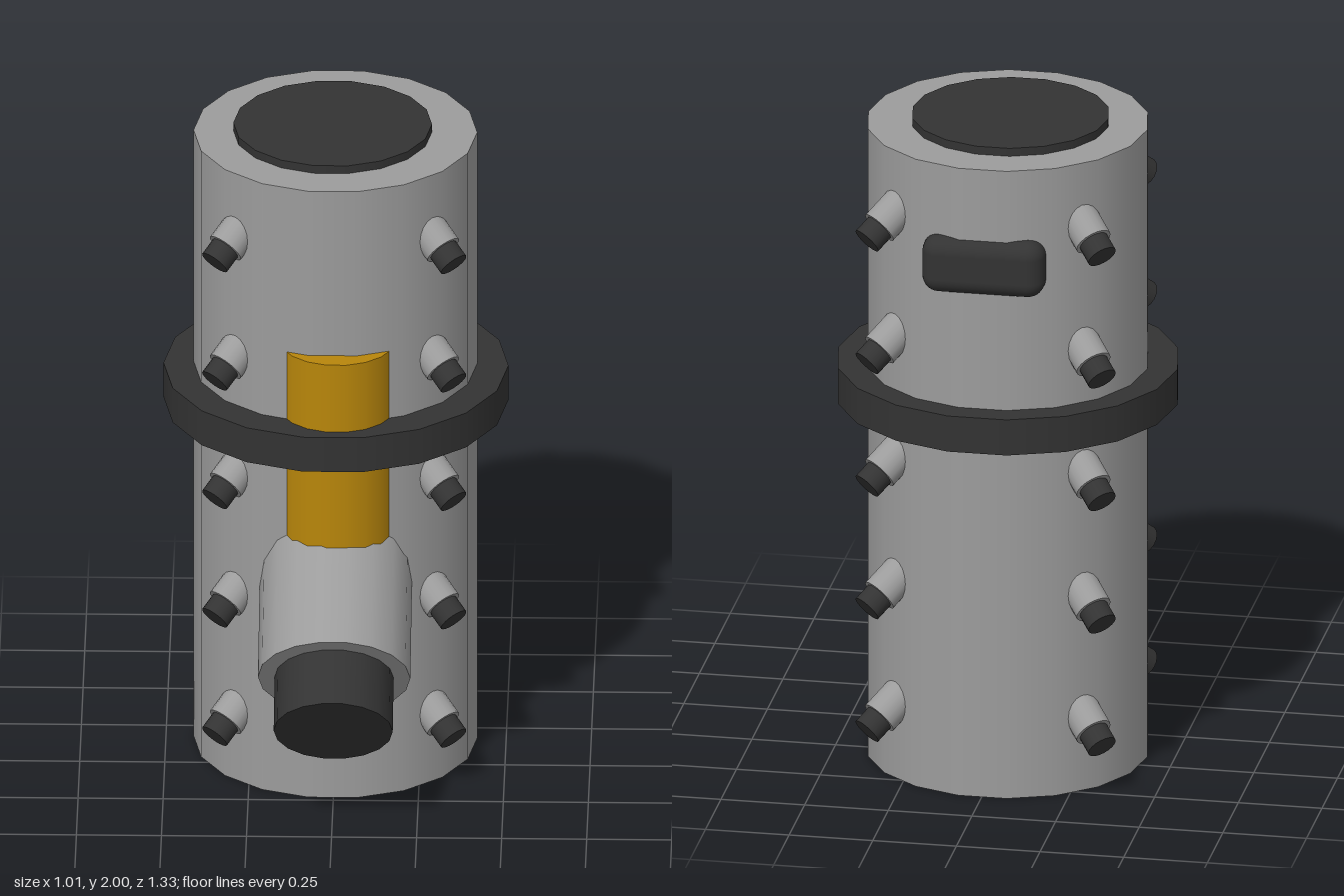
import * as THREE from 'three';
import { RoundedBoxGeometry } from 'three/addons/geometries/RoundedBoxGeometry.js';

const grey = new THREE.MeshStandardMaterial({ color: 0x9c9c9c });
const dark = new THREE.MeshStandardMaterial({ color: 0x333333 });
const yellow = new THREE.MeshStandardMaterial({ color: 0xb8860b });
const SIDES = 18;
const TILT = THREE.MathUtils.degToRad(126.5); // +y tipped forward and below the horizon

function add(parent, name, geometry, material, x = 0, y = 0, z = 0) {
  const mesh = new THREE.Mesh(geometry, material);
  mesh.name = name;
  mesh.position.set(x, y, z);
  parent.add(mesh);
  return mesh;
}

// Cylinder along +y from y0 to y1, with a corner on the x axis
function tube(radius, y0, y1) {
  const g = new THREE.CylinderGeometry(radius, radius, y1 - y0, SIDES, 1, false, Math.PI / 2);
  return g.translate(0, (y0 + y1) / 2, 0);
}

// Pipe with a narrower dark end, pointing forward and down; its origin is the pipe mouth
function angledPipe(name, radius, inside, endRadius, endLength) {
  const group = new THREE.Group();
  group.name = name;
  add(group, name + 'Pipe', tube(radius, -inside, 0), grey);
  add(group, name + 'End', tube(endRadius, -0.02, endLength), dark);
  group.rotation.x = TILT;
  return group;
}

export function createModel() {
  const model = new THREE.Group();
  model.name = 'nozzleColumn';

  // Main column, lid and clamp band
  add(model, 'column', tube(0.417, 0, 1.975), grey, -0.002, 0, -0.18);
  add(model, 'lid', tube(0.292, 1.93, 2), dark, -0.01, 0, -0.18);
  add(model, 'band', tube(0.507, 1.11, 1.222), dark, 0, 0, -0.167);

  // Front strip rising out of the spout
  add(model, 'frontStrip', tube(0.17, 0.75, 1.44), yellow, 0.01, 0, 0.128);

  // Large spout
  const spout = angledPipe('spout', 0.224, 0.42, 0.175, 0.178);
  spout.position.set(0.006, 0.48, 0.4165);
  model.add(spout);

  // Four columns of five small nozzles
  const endLength = 0.055;
  const mouthRadius = 0.497 - endLength * Math.sin(TILT);
  const mouthDrop = endLength * Math.cos(TILT);
  for (let side = 0; side < 4; side++) {
    const column = new THREE.Group();
    column.name = 'nozzleRow' + (side + 1);
    column.position.set(0.001, 0, -0.189);
    column.rotation.y = Math.PI / 4 + side * Math.PI / 2;
    for (let row = 0; row < 5; row++) {
      const nozzle = angledPipe('nozzle', 0.056, 0.16, 0.045, endLength);
      nozzle.position.set(0, 0.163 + row * 0.386 - mouthDrop, mouthRadius);
      column.add(nozzle);
    }
    model.add(column);
  }

  // Rounded handle on the back
  add(model, 'backHandle', new RoundedBoxGeometry(0.365, 0.175, 0.15, 4, 0.05), dark, -0.002, 1.667, -0.545);

  return model;
}
